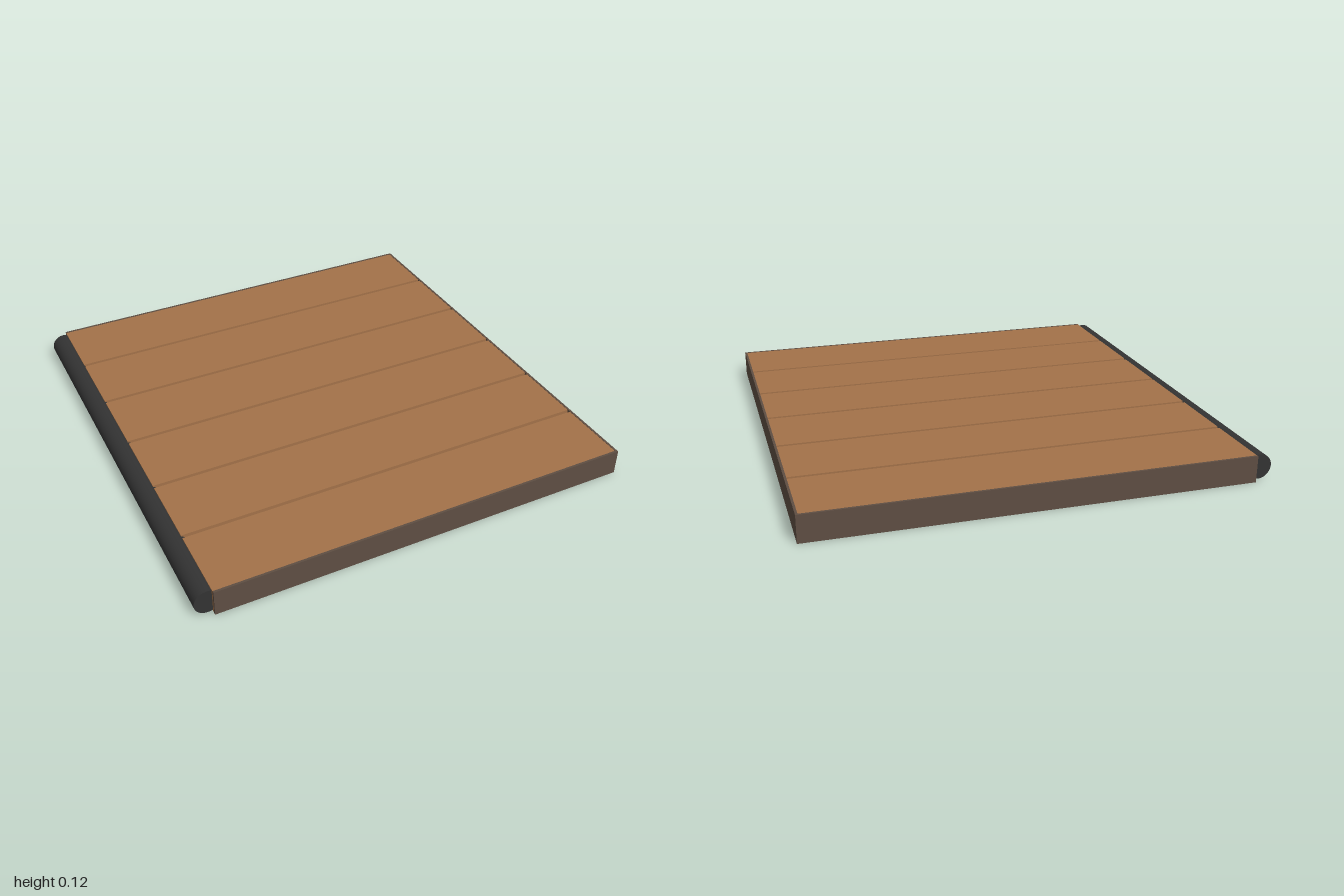
import * as THREE from 'three';

const HEIGHT = 0.117, X0 = -0.905, X1 = 0.98, EDGE = 0.01;

function addBox(parent, name, material, size, position) {
  const mesh = new THREE.Mesh(new THREE.BoxGeometry(...size), material);
  mesh.name = name;
  mesh.position.set(...position);
  parent.add(mesh);
}

export function createModel() {
  const group = new THREE.Group();
  group.name = 'plankPlatform';
  const wood = new THREE.MeshStandardMaterial({ color: 0xa37249 });
  const trim = new THREE.MeshStandardMaterial({ color: 0x5e4e43 });
  const dark = new THREE.MeshStandardMaterial({ color: 0x333333 });

  // Six full-depth planks with open gaps between them
  const count = 6, gap = 0.016, span = 2 - 2 * EDGE;
  const width = (span - gap * (count - 1)) / count;
  const length = X1 - EDGE - X0;
  for (let i = 0; i < count; i++) {
    const z = -span / 2 + width / 2 + i * (width + gap);
    addBox(group, 'plank', wood, [length, HEIGHT - 0.002, width],
      [X0 + length / 2, HEIGHT / 2, z]);
  }

  // Thin edge boards on both sides and the far end
  for (const side of [-1, 1]) {
    addBox(group, 'sideBoard', trim, [X1 - X0, HEIGHT, EDGE],
      [(X0 + X1) / 2, HEIGHT / 2, side * (1 - EDGE / 2)]);
  }
  addBox(group, 'endBoard', trim, [EDGE, HEIGHT, span], [X1 - EDGE / 2, HEIGHT / 2, 0]);

  // Round hinge rod sunk halfway into the plank ends
  const rod = new THREE.Mesh(new THREE.CylinderGeometry(0.055, 0.055, 1.96, 24), dark);
  rod.name = 'hingeRod';
  rod.rotation.x = Math.PI / 2;
  rod.position.set(-0.925, 0.06, 0);
  group.add(rod);

  return group;
}
